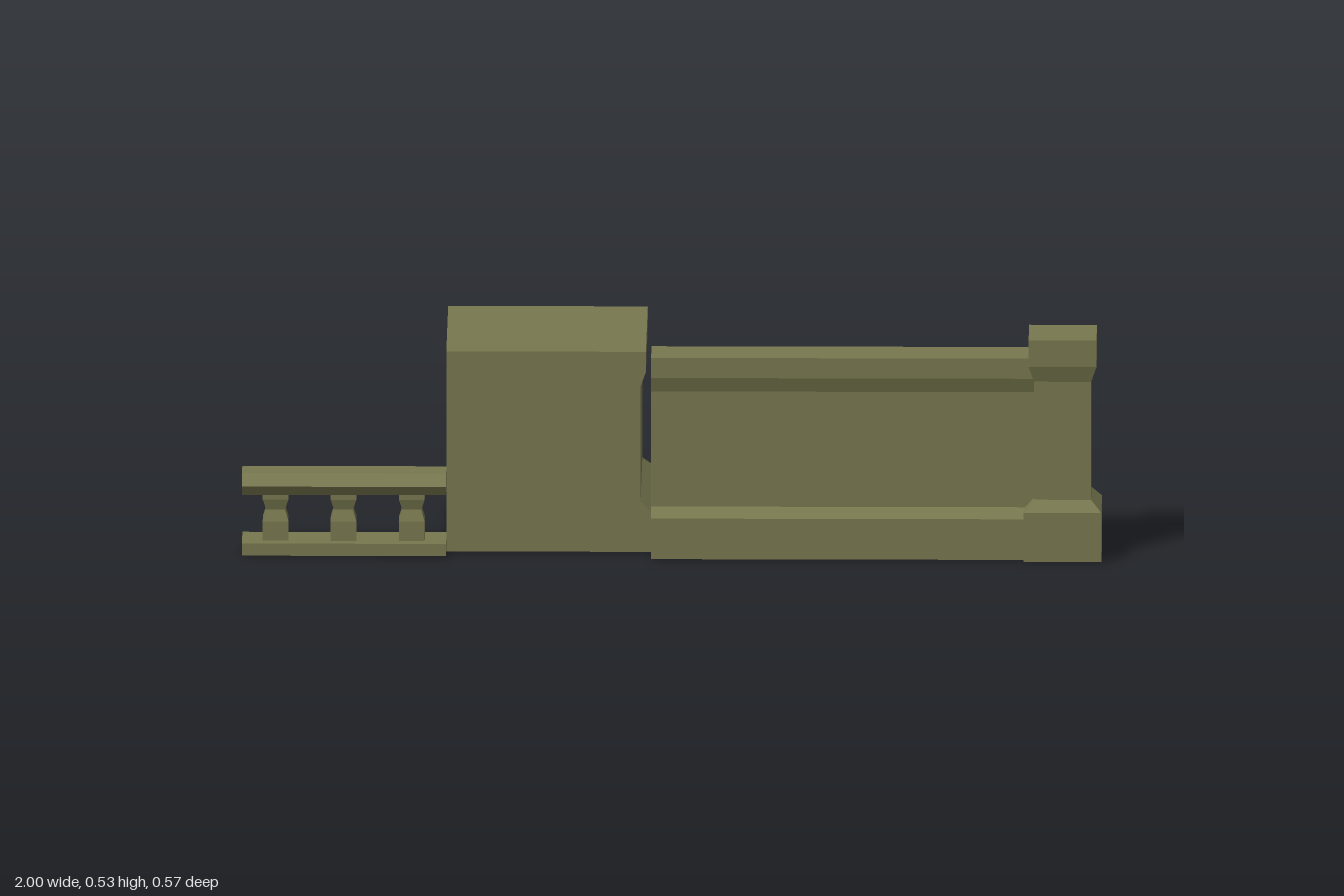
import * as THREE from 'three';

const stone = new THREE.MeshStandardMaterial({ color: 0x77774f });
stone.name = 'olive stone';

// Stacks rectangular rings [y, x0, x1, z0, z1] into a closed, flat-faced solid.
function loft(name, rings) {
  const pos = [];
  const loops = rings.map(([y, x0, x1, z0, z1]) => [[x0, y, z1], [x1, y, z1], [x1, y, z0], [x0, y, z0]]);
  const quad = (a, b, c, d) => pos.push(...a, ...b, ...c, ...a, ...c, ...d);
  for (let i = 0; i < loops.length - 1; i++) {
    const lo = loops[i], hi = loops[i + 1];
    for (let k = 0; k < 4; k++) {
      const n = (k + 1) % 4;
      quad(lo[k], lo[n], hi[n], hi[k]);
    }
  }
  const bottom = loops[0], top = loops[loops.length - 1];
  quad(bottom[3], bottom[2], bottom[1], bottom[0]);
  quad(top[0], top[1], top[2], top[3]);
  const geo = new THREE.BufferGeometry();
  geo.setAttribute('position', new THREE.Float32BufferAttribute(pos, 3));
  geo.computeVertexNormals();
  const mesh = new THREE.Mesh(geo, stone);
  mesh.name = name;
  return mesh;
}

export function createModel() {
  const model = new THREE.Group();
  model.name = 'balustradeWall';

  // Moulding shared by the wall and the block: [height, inset from the plinth]
  const moulding = [[0, 0], [0.097, 0], [0.12, 0.025], [0.395, 0.025], [0.43, 0.0125], [0.478, 0.0125]];

  // Corner block: moulded on the left and back, plain on the other sides
  model.add(loft('cornerBlock', moulding.map(([y, d]) => [y, -0.525, -0.048 - d, -0.285 + d, 0.191])));

  // Long wall: moulded front and back, running into the post
  model.add(loft('wall', moulding.map(([y, d]) => [y, -0.048, 0.86, 0.121 + d, 0.265 - d])));

  // End post: moulded on all four sides
  const post = [[0, 0.0905], [0.117, 0.0905], [0.143, 0.0665], [0.425, 0.0665], [0.463, 0.079], [0.527, 0.079]];
  model.add(loft('endPost', post.map(([y, h]) => [y, 0.9095 - h, 0.9095 + h, 0.1945 - h, 0.1945 + h])));

  // Low balustrade
  const railing = new THREE.Group();
  railing.name = 'balustrade';
  const zc = 0.191;
  const bar = (name, profile) =>
    railing.add(loft(name, profile.map(([y, h]) => [y, -1, -0.525, zc - h, zc + h])));
  bar('bottomRail', [[0.003, 0.06], [0.032, 0.06]]);
  bar('handrail', [[0.145, 0.045], [0.168, 0.06], [0.195, 0.036]]);

  // Square balusters with a narrow neck
  const baluster = [[0.03, 0.03], [0.078, 0.03], [0.105, 0.022], [0.13, 0.03], [0.147, 0.03]];
  for (const x of [-0.922, -0.764, -0.605]) {
    railing.add(loft('baluster', baluster.map(([y, h]) => [y, x - h, x + h, zc - h, zc + h])));
  }
  model.add(railing);
  return model;
}
